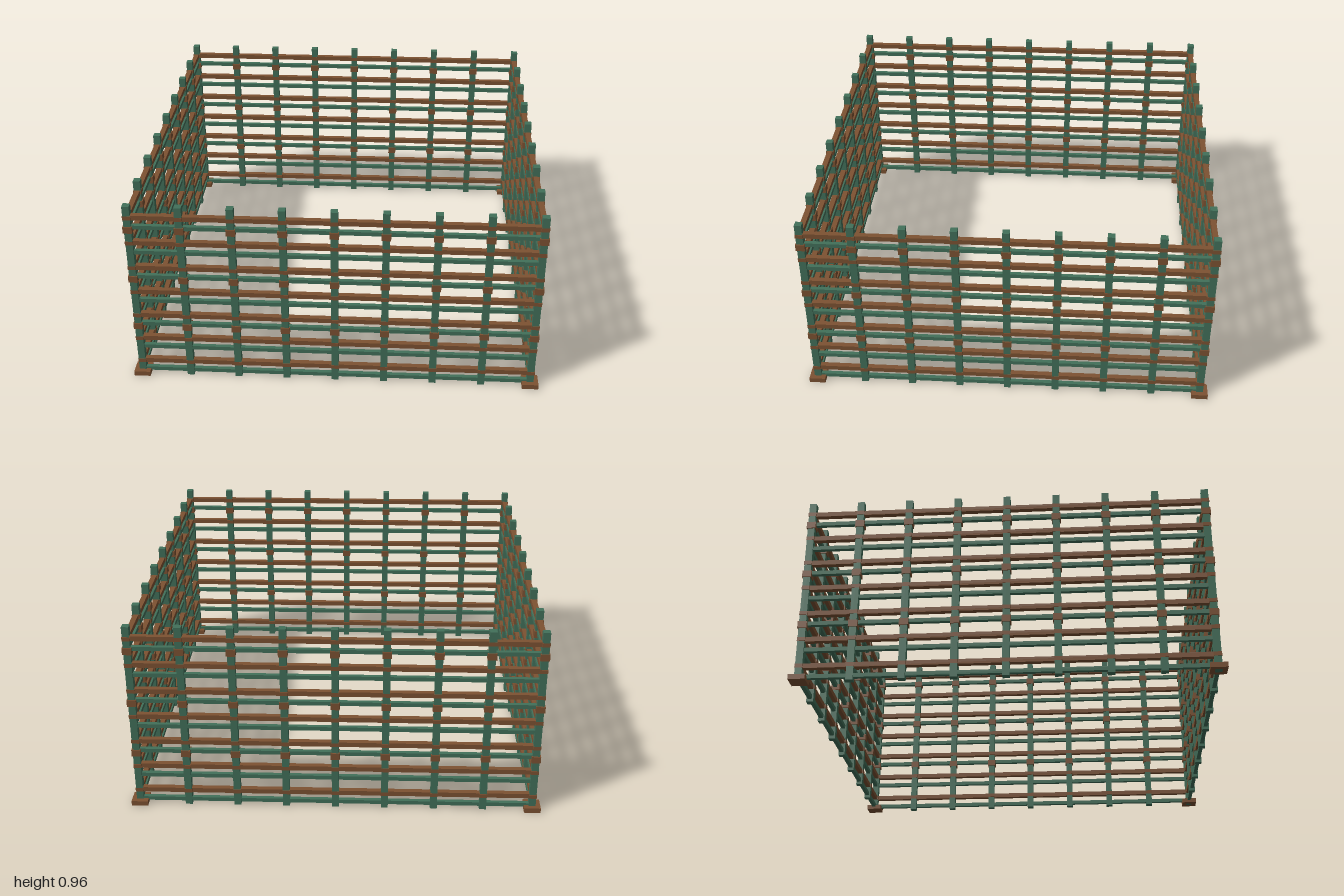
import * as THREE from 'three';

export function createModel() {
  const model = new THREE.Group();
  const green = new THREE.MeshStandardMaterial({ color: 0x42705a });
  green.name = 'weathered green';
  const brown = new THREE.MeshStandardMaterial({ color: 0x7d5232 });
  brown.name = 'rust brown';

  const R = 0.96;        // distance of each wall from the centre
  const BAYS = 8;        // bays per wall
  const STEP = (2 * R) / BAYS;
  const LEVELS = 7;      // rails of each colour
  const RISE = 0.1372;   // spacing between rails of one colour

  const box = (parent, name, size, pos, material) => {
    const mesh = new THREE.Mesh(new THREE.BoxGeometry(...size), material);
    mesh.name = name;
    mesh.position.set(...pos);
    parent.add(mesh);
  };

  // One wall along x; the four turned copies close the square, each owning one corner
  const buildWall = (name, angle) => {
    const wall = new THREE.Group();
    wall.name = name;
    wall.rotation.y = angle;

    for (let i = 0; i < BAYS; i++) {
      const x = -R + i * STEP;
      box(wall, 'post', [0.034, 0.962, 0.034], [x, 0.481, R], green);
      // Large couplers at three heights
      for (const y of [0.29, 0.564, 0.838]) {
        box(wall, 'coupler', [0.044, 0.034, 0.044], [x, y, R], brown);
      }
      // Thin collars where brown rails cross the post
      for (let k = 0; k < LEVELS; k++) {
        box(wall, 'collar', [0.038, 0.02, 0.038], [x, 0.078 + k * RISE, R], brown);
      }
    }

    // Alternating green and brown rails
    for (let k = 0; k < LEVELS; k++) {
      box(wall, 'greenRail', [2 * R, 0.02, 0.02], [0, 0.025 + k * RISE, R], green);
      box(wall, 'brownRail', [2 * R, 0.024, 0.026], [0, 0.078 + k * RISE, R], brown);
    }

    // Foot plate under the corner post
    box(wall, 'footPlate', [0.08, 0.025, 0.08], [-R, 0.0125, R], brown);
    model.add(wall);
  };

  ['frontWall', 'leftWall', 'backWall', 'rightWall'].forEach((name, i) => {
    buildWall(name, (i * Math.PI) / 2);
  });
  return model;
}
